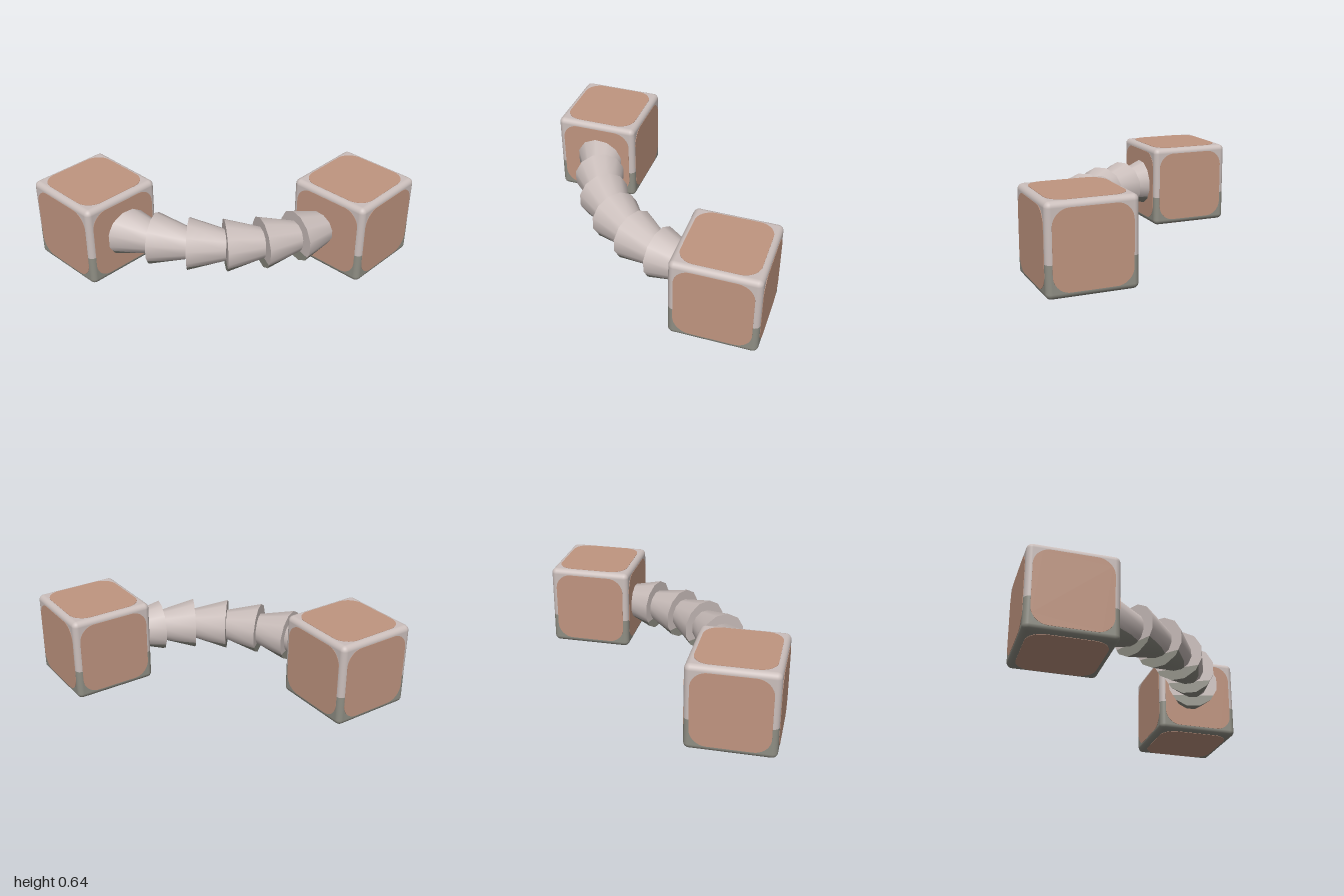
import * as THREE from 'three';
import { RoundedBoxGeometry } from 'three/addons/geometries/RoundedBoxGeometry.js';

const HALF = 0.319; // half the cube size, also the height of the centre line

// Keep only the part of a geometry above (sign 1) or below (sign -1) a height
function slice(source, height, sign) {
  const geo = source.index ? source.toNonIndexed() : source;
  const pos = geo.attributes.position, nor = geo.attributes.normal;
  const outPos = [], outNor = [];
  for (let i = 0; i < pos.count; i += 3) {
    const poly = [];
    const corners = [0, 1, 2].map((k) => ({
      p: new THREE.Vector3().fromBufferAttribute(pos, i + k),
      n: new THREE.Vector3().fromBufferAttribute(nor, i + k),
    }));
    corners.forEach((a, k) => {
      const b = corners[(k + 1) % 3];
      const da = (a.p.y - height) * sign, db = (b.p.y - height) * sign;
      if (da >= 0) poly.push(a);
      if (da * db < 0) {
        const t = da / (da - db);
        poly.push({ p: a.p.clone().lerp(b.p, t), n: a.n.clone().lerp(b.n, t).normalize() });
      }
    });
    for (let k = 1; k + 1 < poly.length; k++) {
      for (const v of [poly[0], poly[k], poly[k + 1]]) {
        outPos.push(...v.p.toArray());
        outNor.push(...v.n.toArray());
      }
    }
  }
  const result = new THREE.BufferGeometry();
  result.setAttribute('position', new THREE.Float32BufferAttribute(outPos, 3));
  result.setAttribute('normal', new THREE.Float32BufferAttribute(outNor, 3));
  return result;
}

// Square plate with rounded corners, facing +z
function panelGeometry(size, radius, depth) {
  const h = size / 2, c = h - radius;
  const shape = new THREE.Shape();
  shape.absarc(c, c, radius, 0, Math.PI / 2);
  shape.absarc(-c, c, radius, Math.PI / 2, Math.PI);
  shape.absarc(-c, -c, radius, Math.PI, Math.PI * 1.5);
  shape.absarc(c, -c, radius, Math.PI * 1.5, Math.PI * 2);
  return new THREE.ExtrudeGeometry(shape, { depth, bevelEnabled: false, curveSegments: 8 });
}

export function createModel() {
  const model = new THREE.Group();
  model.name = 'jointedCubes';

  const material = (name, color) => {
    const m = new THREE.MeshStandardMaterial({ color });
    m.name = name;
    return m;
  };
  const paleGrey = material('paleGrey', 0xcbbfbc);
  const darkGrey = material('darkGrey', 0x8f8e84);
  const clay = material('clay', 0xc09580);

  const add = (parent, name, geometry, mat) => {
    const mesh = new THREE.Mesh(geometry, mat);
    mesh.name = name;
    parent.add(mesh);
    return mesh;
  };
  // Two-tone part: pale above the given height, dark below it
  const addTwoTone = (parent, name, geometry, height) => {
    add(parent, name + 'Upper', slice(geometry, height, 1), paleGrey);
    add(parent, name + 'Lower', slice(geometry, height, -1), darkGrey);
  };

  // Cubes: rounded frame with a thin panel on each of the six sides
  const frame = new RoundedBoxGeometry(HALF * 2 - 0.005, HALF * 2 - 0.005, HALF * 2 - 0.005, 4, 0.04);
  const panel = panelGeometry(0.55, 0.12, 0.008).translate(0, 0, HALF - 0.008);
  const turns = [[0, 0], [0, Math.PI / 2], [0, Math.PI], [0, -Math.PI / 2], [Math.PI / 2, 0], [-Math.PI / 2, 0]];
  for (const side of [-1, 1]) {
    const cube = new THREE.Group();
    cube.name = side < 0 ? 'backCube' : 'frontCube';
    cube.position.set(side * (1 - HALF), HALF, side * (1 - HALF));
    addTwoTone(cube, 'frame', frame, 0.235 - HALF);
    for (const [rx, ry] of turns) add(cube, 'panel', panel, clay).rotation.set(rx, ry, 0);
    model.add(cube);
  }

  // Connecting arm: tapered segments stepping along an arc
  const arm = new THREE.Group();
  arm.name = 'arm';
  const step = 0.265, length = 0.28;
  let x = -0.654, z = -0.413;
  for (let i = 0; i < 6; i++) {
    const heading = THREE.MathUtils.degToRad(72.7 - 11.3 * i);
    const cone = new THREE.CylinderGeometry(0.113, 0.194, length, 12)
      .rotateY(Math.PI / 12)
      .translate(0, length / 2, 0)
      .rotateX(Math.PI / 2)
      .rotateY(Math.PI / 2 - heading)
      .translate(x, HALF + 0.002, z);
    addTwoTone(arm, 'armSegment' + (i + 1), cone, 0.222);
    x += step * Math.cos(heading);
    z += step * Math.sin(heading);
  }
  model.add(arm);
  return model;
}
